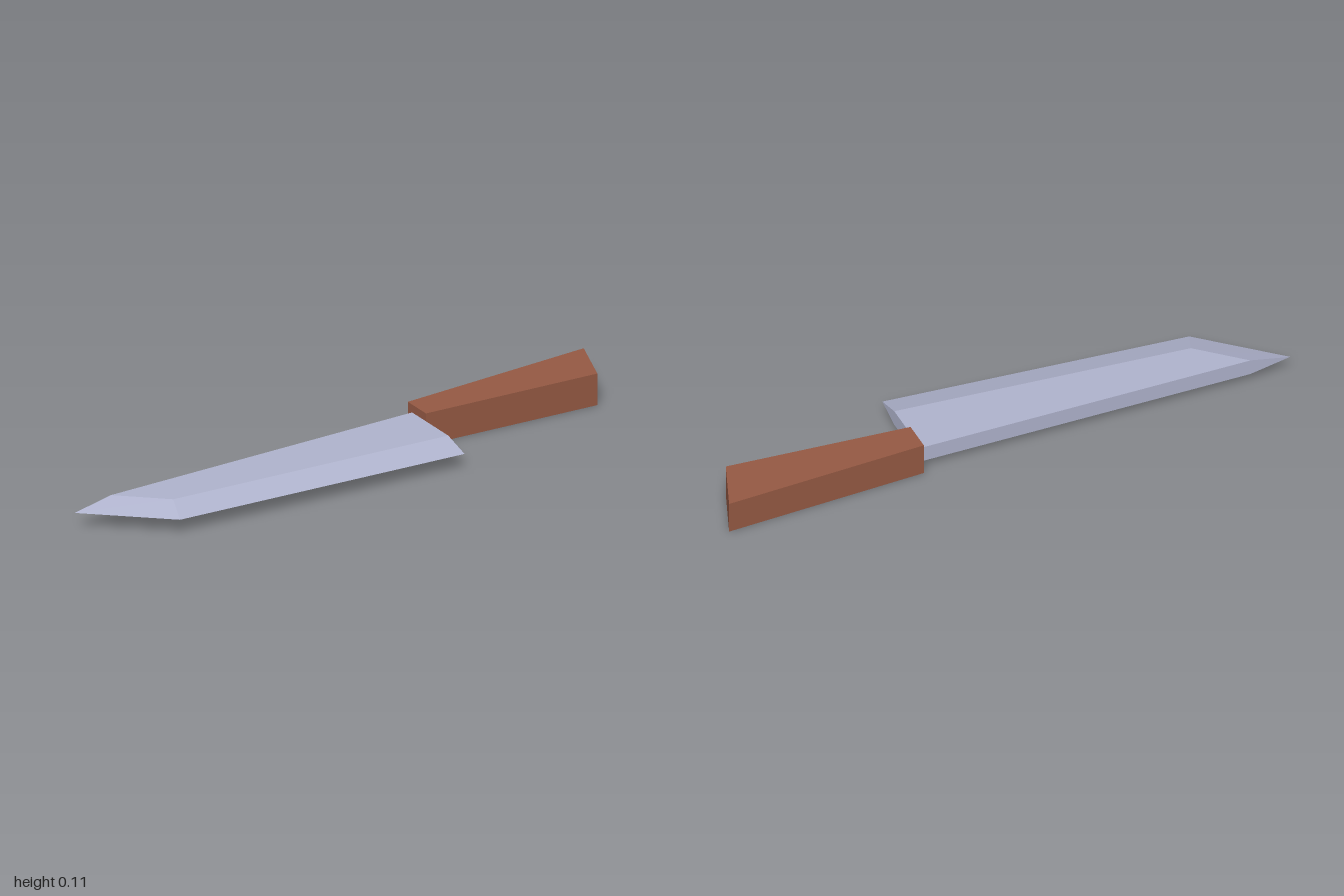
import * as THREE from 'three';

// Joins stacked four-cornered outlines, bottom to top, into a closed faceted solid.
// Each ring is { y, pts: [[x, z], ...] }, counter-clockwise seen from above.
function loftRings(rings) {
  const n = rings[0].pts.length;
  const positions = rings.flatMap(({ y, pts }) => pts.flatMap(([x, z]) => [x, y, z]));
  const index = [];
  for (let r = 0; r < rings.length - 1; r++) {
    for (let i = 0; i < n; i++) {
      const j = (i + 1) % n;
      const a = r * n + i, b = r * n + j;
      index.push(a, b, b + n, a, b + n, a + n);
    }
  }
  const top = (rings.length - 1) * n;
  for (let i = 1; i < n - 1; i++) {
    index.push(top, top + i, top + i + 1); // top cap
    index.push(0, i + 1, i); // bottom cap
  }
  const indexed = new THREE.BufferGeometry();
  indexed.setAttribute('position', new THREE.Float32BufferAttribute(positions, 3));
  indexed.setIndex(index);
  const geometry = indexed.toNonIndexed();
  geometry.computeVertexNormals();
  return geometry;
}

export function createModel() {
  const steel = new THREE.MeshStandardMaterial({ color: 0xb0b4ce });
  steel.name = 'steel';
  const wood = new THREE.MeshStandardMaterial({ color: 0x965a44 });
  wood.name = 'wood';

  const model = new THREE.Group();
  model.name = 'knife';

  // Blade: the cutting outline at mid-height, bevelled to flat cheeks above and below
  const edge = [[-1, -0.125], [-0.745, 0.105], [0.3, 0.184], [0.3, -0.125]];
  const cheek = [[-0.86, -0.125], [-0.71, 0.012], [0.3, 0.088], [0.3, -0.125]];
  const blade = new THREE.Mesh(loftRings([
    { y: 0.029, pts: cheek },
    { y: 0.056, pts: edge },
    { y: 0.084, pts: cheek },
  ]), steel);
  blade.name = 'blade';
  model.add(blade);

  // Handle: a straight-sided grip that widens to a slanted butt
  const grip = [[0.3, -0.15], [0.3, -0.043], [0.93, 0.003], [1, -0.184]];
  const handle = new THREE.Mesh(loftRings([
    { y: 0, pts: grip },
    { y: 0.112, pts: grip },
  ]), wood);
  handle.name = 'handle';
  model.add(handle);

  return model;
}
